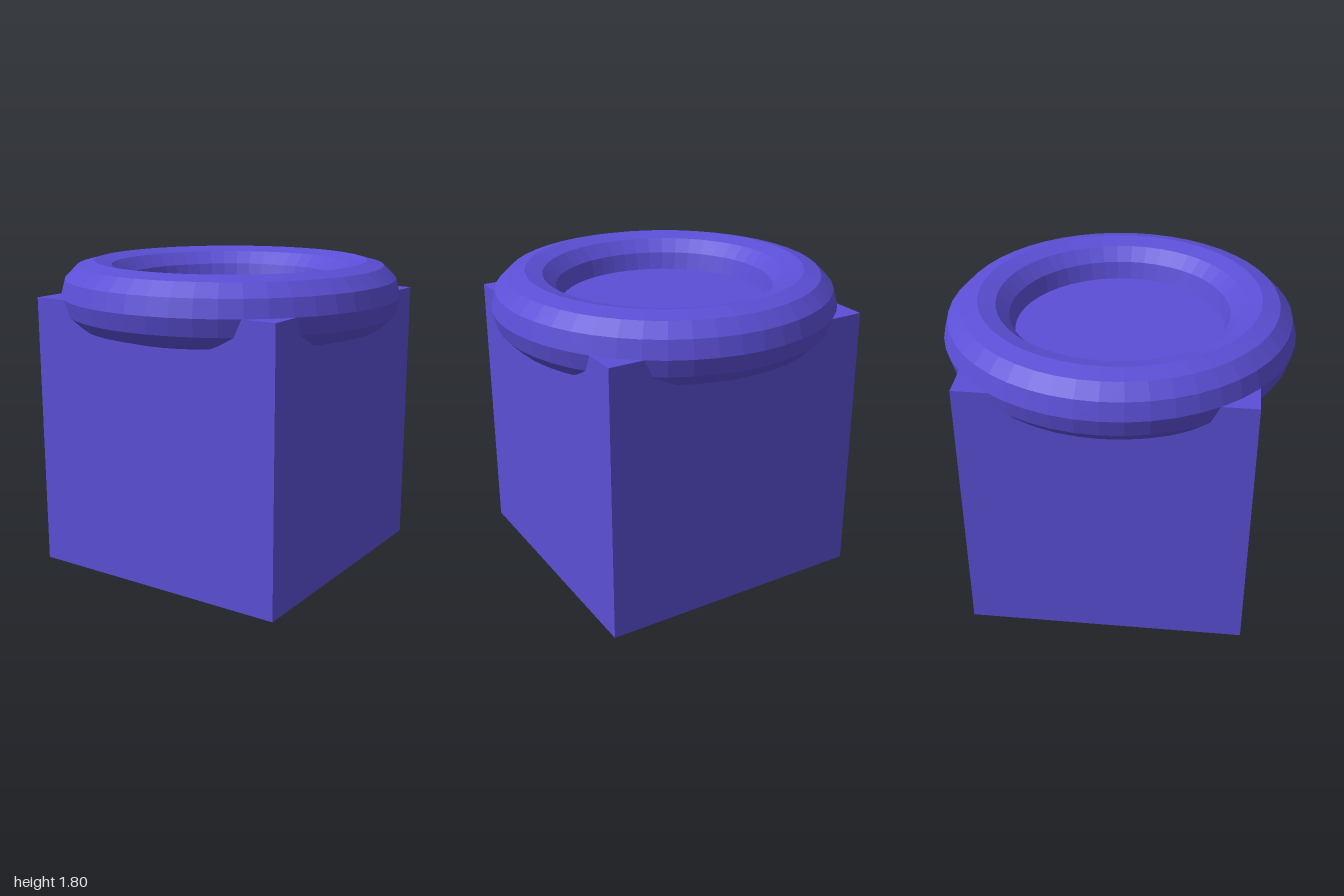
import * as THREE from 'three';

export function createModel() {
  const model = new THREE.Group();
  const material = new THREE.MeshStandardMaterial({ color: 0x5b4fd6, flatShading: true });

  const addPart = (name, geometry, y) => {
    const mesh = new THREE.Mesh(geometry, material);
    mesh.name = name;
    mesh.position.y = y;
    model.add(mesh);
  };

  // Cube base standing on the ground
  addPart('cubeBase', new THREE.BoxGeometry(1.6, 1.6, 1.6), 0.8);

  // Faceted ring lying flat, half sunk into the top of the cube
  addPart('topRing', new THREE.TorusGeometry(0.8, 0.2, 12, 48).rotateX(-Math.PI / 2), 1.6);

  return model;
}
